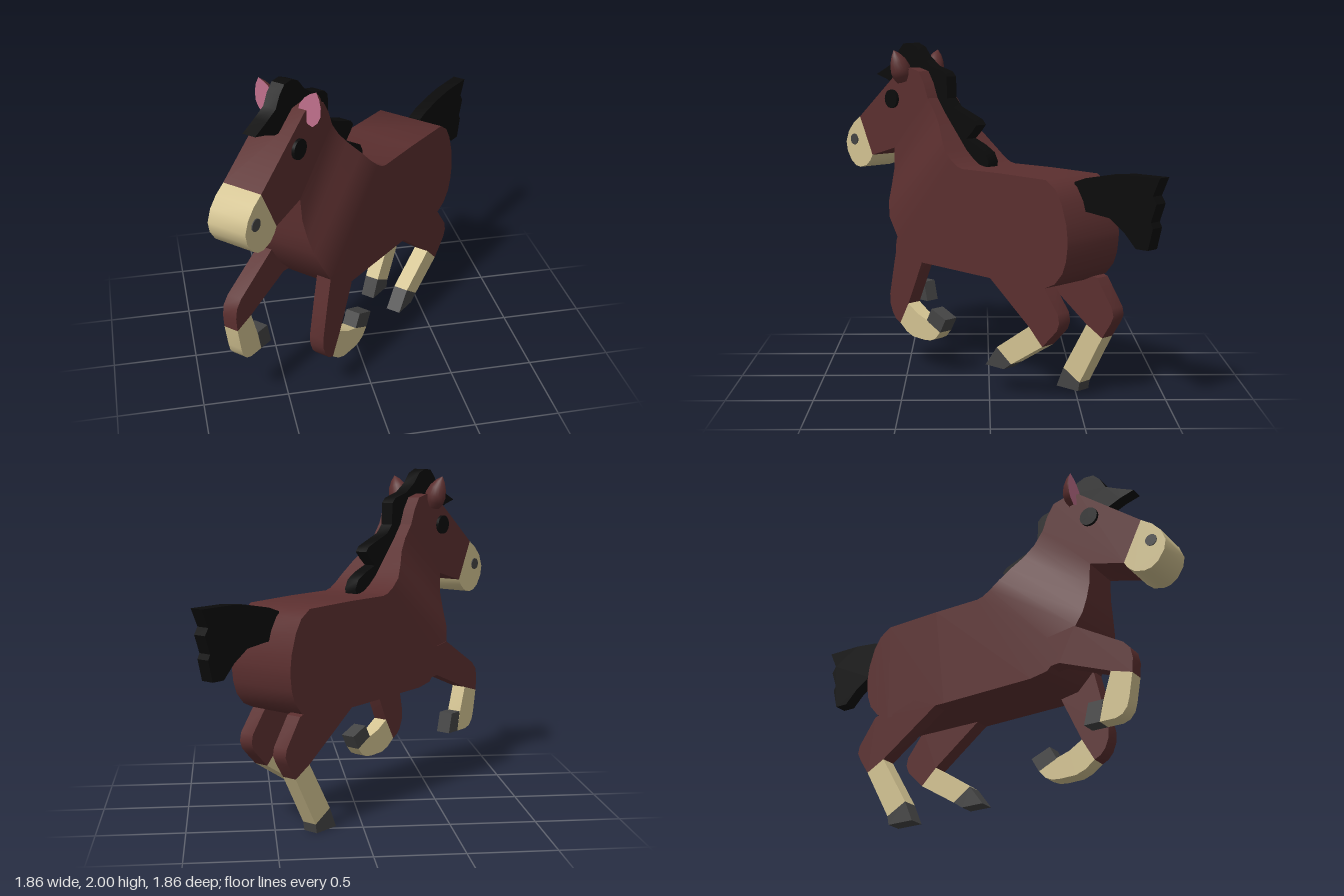
import * as THREE from 'three';
import { toCreasedNormals } from 'three/addons/utils/BufferGeometryUtils.js';

const mat = (name, color, side = THREE.FrontSide) => {
  const m = new THREE.MeshStandardMaterial({ color, side });
  m.name = name;
  return m;
};

export function createModel() {
  const coat = mat('brown coat', 0x5b2f2f);
  const tan = mat('tan markings', 0xd2c291);
  const black = mat('black hair', 0x0b0b0b);
  const hoofGrey = mat('hoof grey', 0x444444);
  const pink = mat('pink inner ear', 0xc0708c, THREE.DoubleSide);
  const coatShell = mat('brown ear shell', 0x5b2f2f, THREE.DoubleSide);

  // Local frame: -x is forward, z is sideways; the whole horse is turned at the end.
  const horse = new THREE.Group();
  horse.name = 'horse';
  const add = (parent, name, geo, material) => {
    const m = new THREE.Mesh(geo, material);
    m.name = name;
    parent.add(m);
    return m;
  };
  // Side profile extruded between two sideways positions
  const slab = (name, pts, z0, z1, material, parent = horse) => {
    const shape = new THREE.Shape(pts.map(p => new THREE.Vector2(...p)));
    const geo = new THREE.ExtrudeGeometry(shape, { depth: z1 - z0, bevelEnabled: false });
    geo.translate(0, 0, z0);
    return add(parent, name, toCreasedNormals(geo, 0.65), material);
  };

  // Body and neck: cross-sections from rump to throat, [bottomX, bottomY, topX, topY]
  const W = 0.22, H = 0.122;
  const sections = [
    [0.81, 0.92, 0.81, 0.96], [0.80, 0.84, 0.80, 1.04], [0.775, 0.77, 0.765, 1.15],
    [0.72, 0.705, 0.72, 1.225], [0.64, 0.668, 0.65, 1.272], [0.23, 0.668, 0.3, 1.28],
    [-0.36, 0.68, 0.0, 1.28], [-0.47, 0.70, -0.04, 1.29], [-0.57, 0.80, -0.09, 1.32],
    [-0.655, 0.93, -0.15, 1.37], [-0.69, 1.02, -0.21, 1.44], [-0.70, 1.12, -0.28, 1.52],
    [-0.705, 1.22, -0.34, 1.59], [-0.71, 1.35, -0.40, 1.67],
  ];
  // The neck narrows along its own slanted direction
  const halfWidth = (x, y) =>
    W + (H - W) * THREE.MathUtils.smoothstep(-0.64 * x + 0.77 * y, 1.1, 1.45);
  const pos = [], idx = [0, 3, 2, 0, 2, 1];
  sections.forEach(([bx, by, tx, ty], i) => {
    const b = halfWidth(bx, by), t = halfWidth(tx, ty);
    pos.push(bx, by, b, tx, ty, t, tx, ty, -t, bx, by, -b);
    if (!i) return;
    for (let k = 0; k < 4; k++) {
      const n = (k + 1) % 4, p = (i - 1) * 4, q = i * 4;
      idx.push(p + k, p + n, q + n, p + k, q + n, q + k);
    }
  });
  const bodyGeo = new THREE.BufferGeometry();
  bodyGeo.setAttribute('position', new THREE.Float32BufferAttribute(pos, 3));
  bodyGeo.setIndex(idx);
  add(horse, 'bodyAndNeck', toCreasedNormals(bodyGeo, 0.65), coat);

  // Head and muzzle
  slab('head', [[-0.40, 1.67], [-0.435, 1.76], [-0.48, 1.83], [-0.56, 1.85], [-0.65, 1.84],
    [-1.044, 1.53], [-0.925, 1.29], [-0.71, 1.35]], -H, H, coat);
  slab('muzzle', [[-1.044, 1.53], [-1.11, 1.485], [-1.16, 1.43], [-1.187, 1.36], [-1.175, 1.30],
    [-1.135, 1.24], [-1.09, 1.21], [-1.045, 1.203], [-0.985, 1.22], [-0.945, 1.255],
    [-0.925, 1.29]], -H, H, tan);

  // Mane with forelock
  slab('mane', [[0.03, 1.27], [0.035, 1.31], [0.01, 1.36], [-0.06, 1.40], [-0.15, 1.435],
    [-0.10, 1.48], [-0.065, 1.52], [-0.09, 1.55], [-0.18, 1.585], [-0.27, 1.62], [-0.315, 1.67],
    [-0.32, 1.80], [-0.35, 1.83], [-0.46, 1.86], [-0.54, 1.915], [-0.59, 1.975], [-0.65, 2.0],
    [-0.71, 1.995], [-0.755, 1.95], [-0.79, 1.885], [-0.87, 1.845], [-0.97, 1.80], [-0.88, 1.775],
    [-0.81, 1.745], [-0.72, 1.74], [-0.60, 1.79], [-0.48, 1.78], [-0.40, 1.63], [-0.22, 1.42],
    [-0.10, 1.29], [-0.05, 1.26]], -0.04, 0.04, black);

  // Tail with a ragged end
  slab('tail', [[0.69, 1.10], [0.70, 1.25], [0.78, 1.278], [0.92, 1.305], [1.06, 1.32],
    [1.28, 1.32], [1.235, 1.22], [1.26, 1.18], [1.225, 1.08], [1.24, 1.05], [1.21, 0.93],
    [1.13, 0.93], [1.05, 1.01], [0.95, 1.075], [0.82, 1.09]], -0.04, 0.04, black);

  // Legs, each with upper part, tan shank and hoof
  const legs = {
    leftFrontLeg: {
      side: 1,
      upper: [[-0.57, 0.82], [-0.61, 0.65], [-0.655, 0.44], [-0.652, 0.38], [-0.63, 0.325],
        [-0.60, 0.29], [-0.56, 0.27], [-0.483, 0.405], [-0.36, 0.67], [-0.34, 0.80]],
      shank: [[-0.56, 0.27], [-0.50, 0.225], [-0.44, 0.203], [-0.34, 0.2], [-0.285, 0.205],
        [-0.24, 0.225], [-0.198, 0.272], [-0.317, 0.328], [-0.40, 0.355], [-0.483, 0.405]],
      hoof: [[-0.317, 0.325], [-0.198, 0.27], [-0.15, 0.355], [-0.272, 0.405]],
    },
    rightFrontLeg: {
      side: -1,
      upper: [[-0.65, 0.93], [-0.945, 0.755], [-0.985, 0.71], [-0.997, 0.65], [-0.99, 0.567],
        [-0.863, 0.605], [-0.548, 0.73], [-0.45, 0.72], [-0.45, 0.9]],
      shank: [[-0.99, 0.567], [-0.965, 0.43], [-0.95, 0.38], [-0.92, 0.345], [-0.88, 0.33],
        [-0.785, 0.33], [-0.81, 0.44], [-0.863, 0.605]],
      hoof: [[-0.81, 0.453], [-0.72, 0.453], [-0.69, 0.33], [-0.785, 0.33]],
    },
    leftHindLeg: {
      side: 1,
      upper: [[0.225, 0.668], [0.53, 0.435], [0.632, 0.337], [0.70, 0.405], [0.738, 0.445],
        [0.755, 0.49], [0.745, 0.54], [0.63, 0.69], [0.4, 0.75]],
      shank: [[0.53, 0.435], [0.28, 0.27], [0.393, 0.19], [0.632, 0.337]],
      hoof: [[0.28, 0.27], [0.19, 0.15], [0.335, 0.15], [0.393, 0.19]],
    },
    rightHindLeg: {
      side: -1,
      upper: [[0.29, 0.668], [0.66, 0.41], [0.775, 0.348], [0.835, 0.44], [0.855, 0.485],
        [0.845, 0.53], [0.735, 0.69], [0.5, 0.76]],
      shank: [[0.66, 0.41], [0.488, 0.12], [0.612, 0.053], [0.775, 0.348]],
      hoof: [[0.488, 0.12], [0.436, 0], [0.602, 0], [0.612, 0.053]],
    },
  };
  for (const [name, leg] of Object.entries(legs)) {
    const g = new THREE.Group();
    g.name = name;
    horse.add(g);
    const [z0, z1] = leg.side > 0 ? [0.127, W] : [-W, -0.127];
    slab('upperLeg', leg.upper, z0, z1, coat, g);
    slab('shank', leg.shank, z0, z1, tan, g);
    slab('hoof', leg.hoof, z0, z1, hoofGrey, g);
  }

  // Eyes, nostrils and ears on both sides
  const earProfile = [[0.045, 0], [0.066, 0.04], [0.07, 0.08], [0.055, 0.13], [0.03, 0.17], [0, 0.2]]
    .map(p => new THREE.Vector2(...p));
  const earFace = new THREE.Shape([...earProfile,
    ...earProfile.slice(0, -1).reverse().map(p => new THREE.Vector2(-p.x, p.y))]);
  for (const s of [1, -1]) {
    const side = s > 0 ? 'left' : 'right';
    const disc = (name, r, depth, x, y, material) => {
      const geo = new THREE.CylinderGeometry(r, r, depth, 20).rotateX(Math.PI / 2);
      add(horse, side + name, geo, material).position.set(x, y, s * H);
    };
    disc('Eye', 0.057, 0.036, -0.72, 1.655, black);
    disc('Nostril', 0.035, 0.012, -1.10, 1.38, hoofGrey);

    const ear = new THREE.Group();
    ear.name = side + 'Ear';
    add(ear, 'earShell', new THREE.LatheGeometry(earProfile, 12, 0, Math.PI), coatShell);
    add(ear, 'innerEar', new THREE.ShapeGeometry(earFace).rotateY(-Math.PI / 2), pink);
    ear.position.set(-0.635, 1.77, s * 0.115);
    ear.rotation.x = s * 0.36;
    horse.add(ear);
  }

  // The horse gallops diagonally
  horse.rotation.y = Math.PI / 4;
  const model = new THREE.Group();
  model.name = 'gallopingHorse';
  model.add(horse);
  return model;
}
